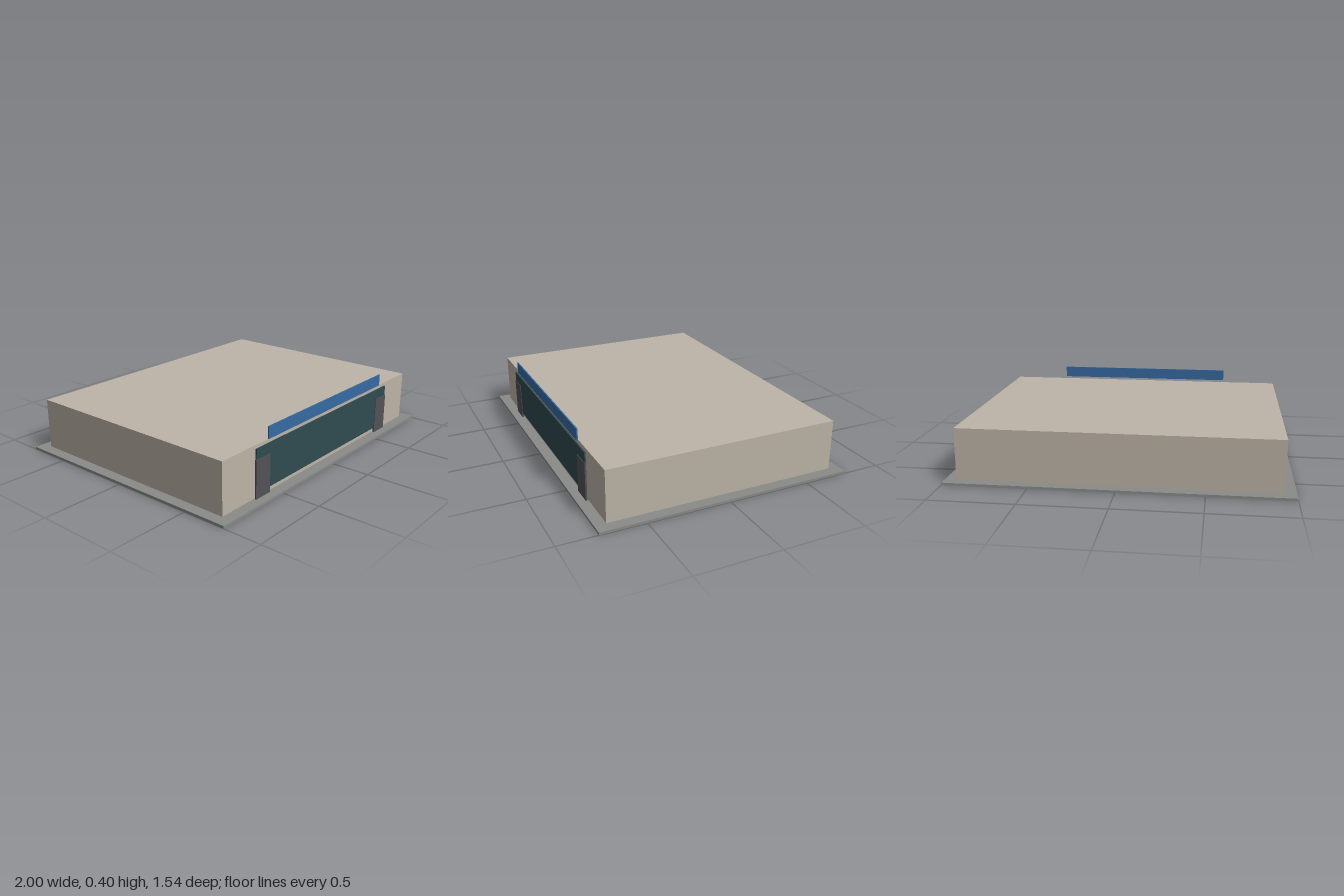
import * as THREE from 'three';

export function createModel() {
  const group = new THREE.Group();

  // Box given by its extents along each axis
  function slab(name, color, [x0, x1], [y0, y1], [z0, z1]) {
    const mesh = new THREE.Mesh(
      new THREE.BoxGeometry(x1 - x0, y1 - y0, z1 - z0),
      new THREE.MeshStandardMaterial({ color })
    );
    mesh.name = name;
    mesh.position.set((x0 + x1) / 2, (y0 + y1) / 2, (z0 + z1) / 2);
    group.add(mesh);
  }

  // Paved ground slab and the main building block
  slab('pavement', 0x8a8a88, [-1, 1], [0, 0.015], [-0.769, 0.769]);
  slab('building', 0xbdb4a7, [-0.933, 0.933], [0.015, 0.322], [-0.703, 0.703]);

  // Wide shop window on the front wall
  slab('shopWindow', 0x2f4a50, [-0.673, 0.673], [0.046, 0.304], [0.708, 0.716]);

  // Doors at both ends of the window
  slab('leftDoor', 0x525257, [0.557, 0.678], [0.015, 0.244], [0.71, 0.719]);
  slab('rightDoor', 0x525257, [-0.678, -0.557], [0.015, 0.244], [0.71, 0.719]);

  // Blank sign board above the roof line
  slab('signBoard', 0x366ba3, [-0.579, 0.579], [0.333, 0.404], [0.715, 0.723]);

  return group;
}
